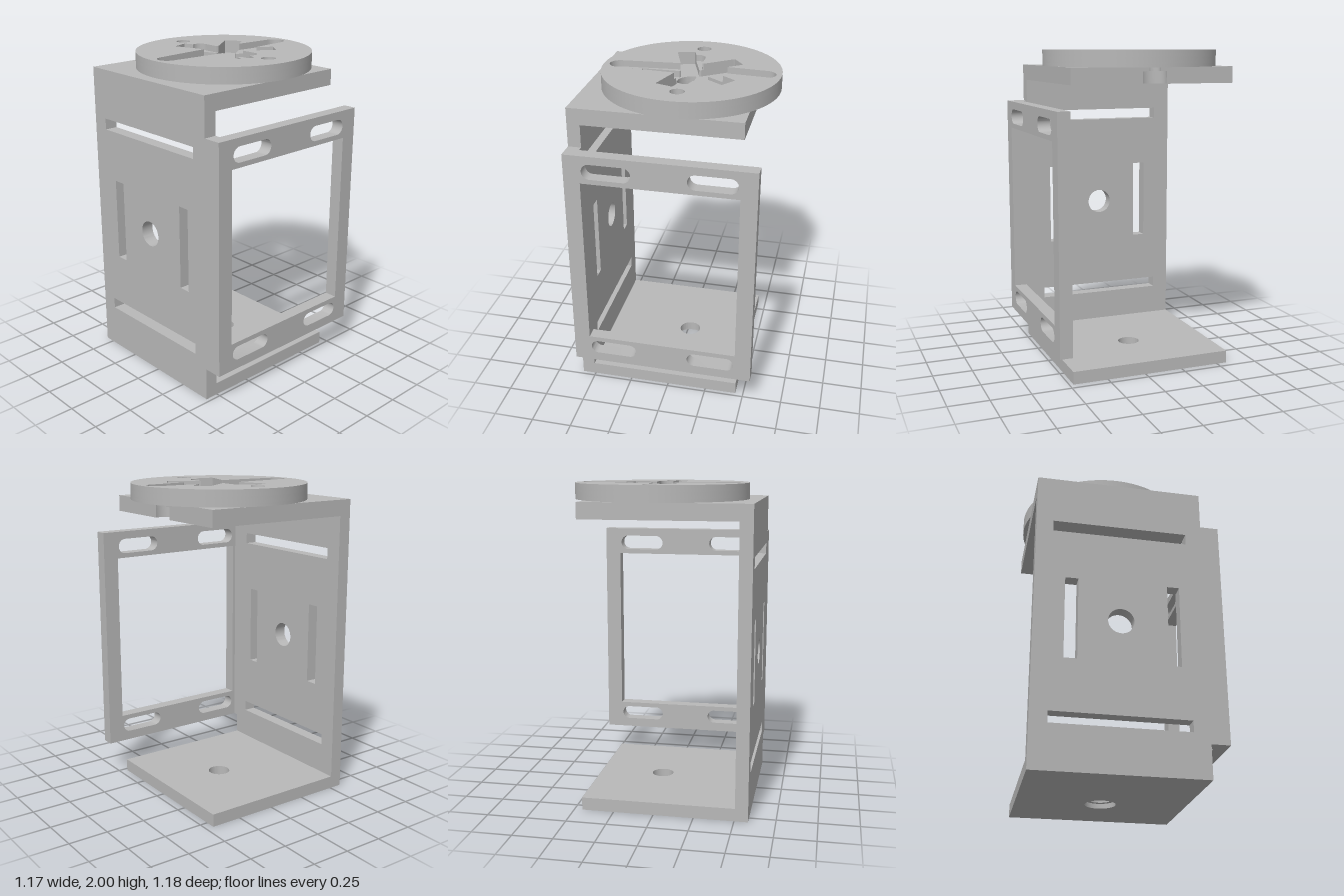
import * as THREE from 'three';
import { toCreasedNormals } from 'three/addons/utils/BufferGeometryUtils.js';

const CX = 0.0375, CZ = -0.048; // servo axis

// Closed outlines
const poly = (pts) => pts.map(([x, y]) => new THREE.Vector2(x, y));
const rect = (x0, y0, x1, y1) => poly([[x0, y0], [x1, y0], [x1, y1], [x0, y1]]);
const circle = (x, y, r, n = 48) => Array.from({ length: n }, (_, i) => {
  const a = (i / n) * Math.PI * 2;
  return new THREE.Vector2(x + r * Math.cos(a), y + r * Math.sin(a));
});
const slot = (x0, y0, x1, y1) => {
  const r = (y1 - y0) / 2, y = (y0 + y1) / 2, pts = [];
  for (let i = 0; i <= 16; i++) {
    const a = Math.PI / 2 + (i / 16) * Math.PI;
    pts.push([x0 + r + r * Math.cos(a), y + r * Math.sin(a)]);
  }
  for (let i = 0; i <= 16; i++) {
    const a = -Math.PI / 2 + (i / 16) * Math.PI;
    pts.push([x1 - r + r * Math.cos(a), y + r * Math.sin(a)]);
  }
  return poly(pts);
};

// Plate with holes, extruded along +z
function plate(outline, holes, depth) {
  const s = new THREE.Shape(outline);
  s.holes = holes.map((h) => new THREE.Path(h));
  return new THREE.ExtrudeGeometry(s, { depth, bevelEnabled: false });
}
// Horizontal plate drawn in (x, z) between two heights
const slab = (outline, holes, y0, y1) =>
  plate(outline, holes, y1 - y0).rotateX(Math.PI / 2).translate(0, y1, 0);

// Outline of a star-shaped region around the servo axis
function starOutline(inside, n = 720) {
  return Array.from({ length: n }, (_, i) => {
    const a = ((i + 0.5) / n) * Math.PI * 2, c = Math.cos(a), s = Math.sin(a);
    let lo = 0, hi = 0.54;
    for (let k = 0; k < 24; k++) {
      const m = (lo + hi) / 2;
      if (inside(m * c, m * s)) lo = m; else hi = m;
    }
    return new THREE.Vector2(CX + lo * c, CZ + lo * s);
  });
}

// Five radial pockets
function inBlades(x, z) {
  for (let i = 0; i < 5; i++) {
    const a = Math.PI + (i * Math.PI * 2) / 5;
    const d = x * Math.cos(a) + z * Math.sin(a);
    const w = -x * Math.sin(a) + z * Math.cos(a);
    if (d >= 0 && d <= 0.319 && Math.abs(w) <= 0.056) return true;
  }
  return false;
}
// Cross-shaped horn pocket: two long tapered arms, two short round-ended arms
function inHorn(x, z) {
  const d = Math.abs(x);
  if (d <= 0.449 && Math.abs(z) <= 0.093 - 0.07 * d) return true;
  if (Math.hypot(d - 0.449, z) <= 0.0615) return true;
  const w = x - Math.sign(z) * 0.008, e = Math.abs(z);
  return (e <= 0.215 && Math.abs(w) <= 0.05) || Math.hypot(w, e - 0.215) <= 0.05;
}

export function createModel() {
  const grey = new THREE.MeshStandardMaterial({ color: 0xb8b8b8 });
  grey.name = 'light grey';
  const model = new THREE.Group();
  model.name = 'servoBracket';
  const add = (name, geo, parent = model) => {
    const mesh = new THREE.Mesh(toCreasedNormals(geo, 0.5), grey);
    mesh.name = name;
    parent.add(mesh);
  };

  // Upright side plate with mounting slots, drawn in (-z, y)
  const side = poly([[-0.475, 0], [0.565, 0], [0.565, 1.9], [-0.475, 1.9],
    [-0.475, 1.66], [-0.51, 1.66], [-0.51, 0.21], [-0.475, 0.21]]);
  const sideHoles = [
    rect(-0.375, 1.52, 0.46, 1.59), rect(-0.375, 0.275, 0.46, 0.345),
    rect(-0.32, 0.675, -0.245, 1.2), rect(0.3, 0.675, 0.38, 1.2),
    circle(0.04, 0.94, 0.08),
  ];
  add('sidePlate', plate(side, sideHoles, 0.08).rotateY(Math.PI / 2).translate(-0.585, 0, 0));

  // Front frame with four rounded slots
  const frameHoles = [rect(-0.485, 0.39, 0.455, 1.485)];
  for (const [y0, y1] of [[0.27, 0.36], [1.515, 1.61]]) {
    frameHoles.push(slot(-0.475, y0, -0.18, y1), slot(0.15, y0, 0.445, y1));
  }
  add('frontFrame', plate(rect(-0.585, 0.21, 0.555, 1.66), frameHoles, 0.08).translate(0, 0, 0.51));

  // Bottom plate, counterbored from below
  const base = rect(-0.505, -0.565, 0.45, 0.475);
  add('bottomPlateLower', slab(base, [circle(CX, CZ, 0.095)], 0, 0.03));
  add('bottomPlateUpper', slab(base, [circle(CX, CZ, 0.069)], 0.03, 0.08));

  // Top plate: three round holes, a centre hole and one hole open at the edge
  const R = 0.39;
  const topLayer = (name, r, y0, y1) => {
    const hx = CX + R, a = Math.acos((0.45 - hx) / r), pts = [[-0.505, -0.565], [0.45, -0.565]];
    for (let i = 0; i <= 32; i++) {
      const t = -a - (i / 32) * (2 * Math.PI - 2 * a);
      pts.push([hx + r * Math.cos(t), CZ + r * Math.sin(t)]);
    }
    pts.push([0.45, 0.475], [-0.505, 0.475]);
    add(name, slab(poly(pts), [circle(CX, CZ, 0.088), circle(CX - R, CZ, r),
      circle(CX, CZ - R, r), circle(CX, CZ + R, r)], y0, y1));
  };
  topLayer('topPlateLower', 0.08, 1.8, 1.875);
  topLayer('topPlateUpper', 0.044, 1.875, 1.9);

  // Round disc in three layers: floor, blade pockets, horn pocket
  const disc = new THREE.Group();
  disc.name = 'disc';
  model.add(disc);
  const rim = circle(CX, CZ, 0.545, 128);
  const endHoles = [circle(CX, CZ - R, 0.044), circle(CX, CZ + R, 0.044)];
  const sideEndHoles = [circle(CX - R, CZ, 0.044), circle(CX + R, CZ, 0.044)];
  const blades = starOutline((x, z) => Math.hypot(x, z) <= 0.103 || inBlades(x, z));
  const horn = starOutline((x, z) => Math.hypot(x, z) <= 0.12 || inBlades(x, z) || inHorn(x, z));
  add('discFloor', slab(rim, [circle(CX, CZ, 0.088), ...endHoles, ...sideEndHoles], 1.9, 1.92), disc);
  add('discBladeLayer', slab(rim, [blades, ...endHoles, ...sideEndHoles], 1.92, 1.96), disc);
  add('discHornLayer', slab(rim, [horn, ...endHoles], 1.96, 2.0), disc);

  return model;
}
